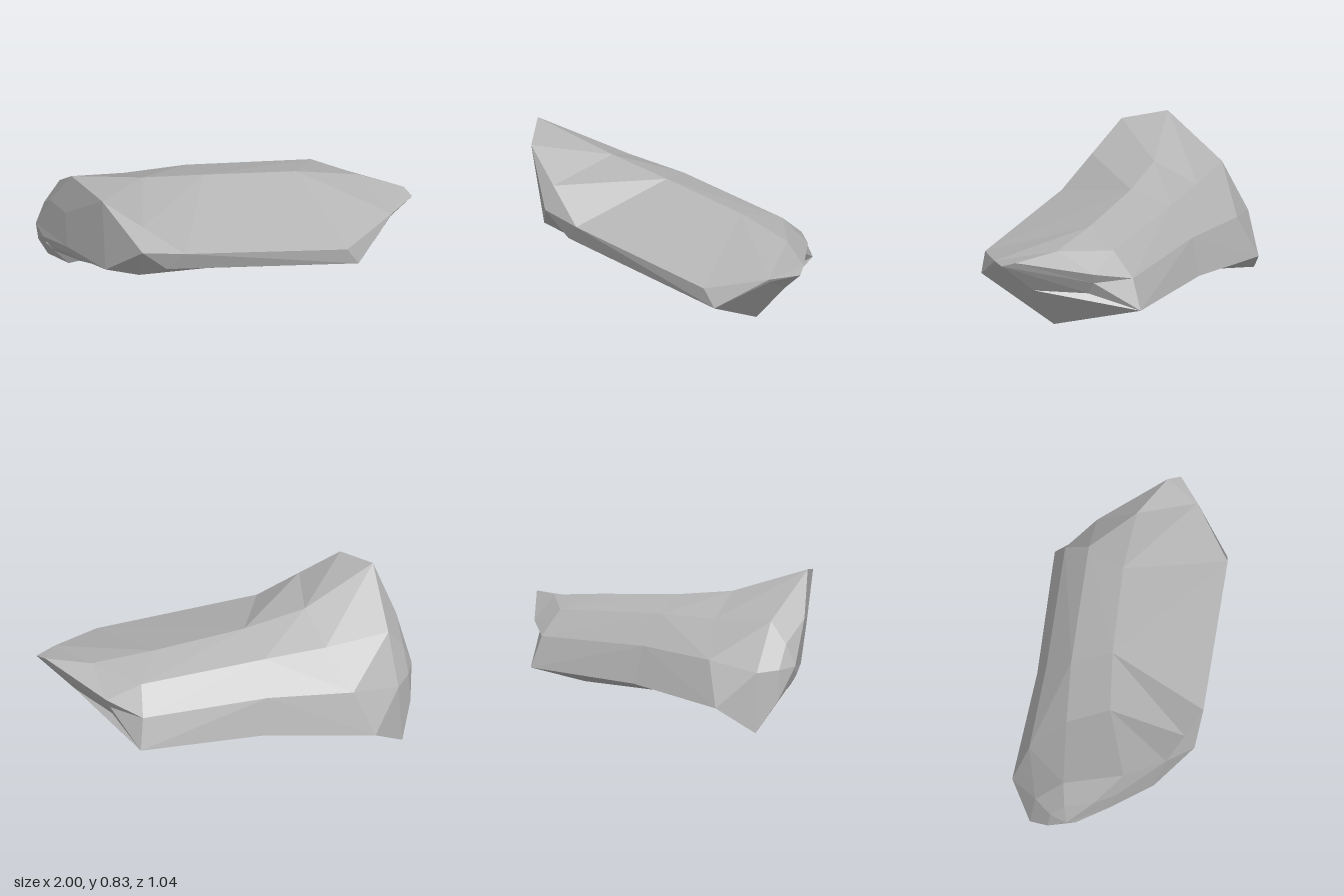
import * as THREE from 'three';
import { ConvexGeometry } from 'three/addons/geometries/ConvexGeometry.js';

const stone = new THREE.MeshStandardMaterial({ color: 0xb4b4b4, flatShading: true });
stone.name = 'grey stone';

const vec = (p) => new THREE.Vector3(...p);

// Cross-sections from left to right. Each runs: front ridge, crest, back
// shoulder, back foot, front foot, front side.
const sections = [
  [[-0.75, 0.79, 0.32], [-0.87, 0.83, 0.1], [-0.86, 0.59, -0.23],
    [-0.885, 0, -0.41], [-0.9, 0.23, -0.1], [-0.715, 0.295, 0.25]],
  [[-0.54, 0.64, 0.4], [-0.45, 0.685, -0.015], [-0.5, 0.57, -0.25],
    [-0.7, 0.135, -0.525], [-0.465, 0.045, -0.025], [-0.555, 0.51, 0.455]],
  [[-0.325, 0.487, 0.48], [-0.1, 0.635, -0.04], [-0.15, 0.565, -0.26],
    [-0.1, 0.2, -0.45], [-0.1, 0.075, 0.035], [-0.415, 0.37, 0.43]],
  [[0.57, 0.41, 0.52], [0.41, 0.585, -0.035], [0.54, 0.515, -0.235],
    [0.6, 0.215, -0.427], [0.605, 0.065, 0.09], [0.635, 0.305, 0.512]],
  [[0.865, 0.475, 0.325], [0.75, 0.54, 0.005], [0.73, 0.43, -0.21],
    [0.68, 0.3, -0.15], [0.815, 0.32, 0.115], [0.86, 0.455, 0.315]],
].map((section) => {
  const ring = section.map(vec);
  // bulge the back between its shoulder and foot
  const [shoulder, foot] = [ring[2], ring[3]];
  const side = shoulder.clone().lerp(foot, 0.5);
  const bulge = shoulder.distanceTo(foot) * 0.1;
  side.y += bulge * 0.5;
  side.z -= bulge;
  ring.splice(3, 0, side);
  return ring;
});

// Blunt left end: the rim shrinks towards a hub
const hub = new THREE.Vector3(-1, 0.35, -0.2);
const endFace = sections[0].map((p) => {
  const q = p.clone().lerp(hub, 0.5);
  q.x -= 0.02;
  return q;
});

// Right end: a short slanted edge closes the taper
const tip = new THREE.Vector3(1, 0.5, 0.22);
const tipBack = new THREE.Vector3(0.97, 0.52, 0.15);
const tipRing = sections[0].map((p, j) => (j > 0 && j < 4 ? tipBack : tip));

function skin(rings) {
  const corners = [];
  const tri = (...t) => {
    if (new THREE.Triangle(...t).getArea() > 1e-9) corners.push(...t);
  };
  for (let i = 0; i < rings.length - 1; i++) {
    rings[i].forEach((a, j) => {
      const k = (j + 1) % rings[i].length;
      const b = rings[i][k], c = rings[i + 1][j], d = rings[i + 1][k];
      // split each quad along the diagonal that bulges outward
      const normal = c.clone().sub(a).cross(b.clone().sub(a));
      if (normal.dot(d.clone().sub(a)) <= 0) {
        tri(a, c, b);
        tri(c, d, b);
      } else {
        tri(a, c, d);
        tri(a, d, b);
      }
    });
  }
  const geometry = new THREE.BufferGeometry().setFromPoints(corners);
  geometry.computeVertexNormals();
  return geometry;
}

export function createModel() {
  const group = new THREE.Group();
  group.name = 'rock';

  const body = new THREE.Mesh(
    skin([endFace.map(() => hub), endFace, ...sections, tipRing]), stone);
  body.name = 'boulder';

  // Low wedge under the raised end
  const wedge = [[-0.885, 0, -0.41], [-0.8, 0.01, -0.275], [-0.7, 0.135, -0.525],
    [-0.56, 0.07, -0.23], [-0.95, 0.225, -0.18]];
  const foot = new THREE.Mesh(new ConvexGeometry(wedge.map(vec)), stone);
  foot.name = 'rearFoot';

  group.add(body, foot);
  return group;
}
